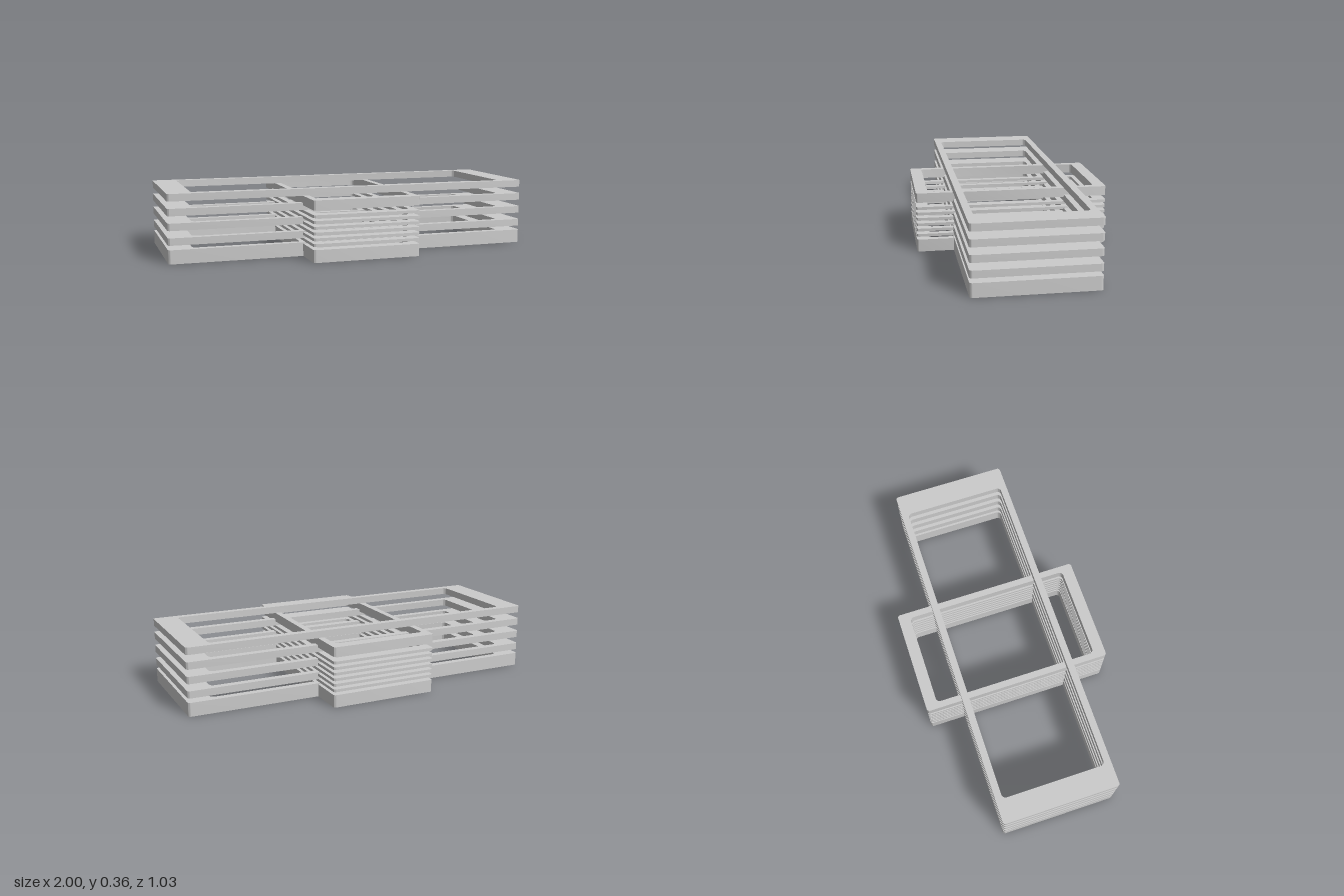
import * as THREE from 'three';
import { toCreasedNormals } from 'three/addons/utils/BufferGeometryUtils.js';

const material = new THREE.MeshStandardMaterial({ color: 0xcccccc });

// Traces a rounded rectangle, given half sizes and corner radius
function roundedRect(path, hx, hz, r) {
  path.moveTo(hx, -hz + r);
  path.absarc(hx - r, hz - r, r, 0, Math.PI / 2, false);
  path.absarc(-hx + r, hz - r, r, Math.PI / 2, Math.PI, false);
  path.absarc(-hx + r, -hz + r, r, Math.PI, Math.PI * 1.5, false);
  path.absarc(hx - r, -hz + r, r, Math.PI * 1.5, Math.PI * 2, false);
  return path;
}

// Flat rectangular frame lying between two heights
function frame(name, outer, inner, bottom, top) {
  const shape = roundedRect(new THREE.Shape(), outer[0], outer[1], 0.015);
  shape.holes.push(roundedRect(new THREE.Path(), inner[0], inner[1], 0.022));
  const geometry = new THREE.ExtrudeGeometry(shape, {
    depth: top - bottom, bevelEnabled: false, curveSegments: 6,
  });
  geometry.rotateX(-Math.PI / 2);
  geometry.translate(0, bottom, 0);
  const mesh = new THREE.Mesh(toCreasedNormals(geometry, 0.6), material);
  mesh.name = name;
  return mesh;
}

// Stack of equal frames at the given [bottom, top] levels
function stack(name, outer, inner, levels) {
  const group = new THREE.Group();
  group.name = name + 'Stack';
  levels.forEach(([bottom, top], i) => {
    group.add(frame(`${name}${i + 1}`, outer, inner, bottom, top));
  });
  return group;
}

export function createModel() {
  const model = new THREE.Group();
  model.name = 'crossedFrames';

  // Long frames running left to right: thick base and four even layers
  const longLevels = [[0, 0.073]];
  for (let i = 0; i < 4; i++) longLevels.push([0.096 + i * 0.075, 0.134 + i * 0.075]);
  model.add(stack('longFrame', [1, 0.32], [0.872, 0.282], longLevels));

  // Cross frames running front to back: thick base, six thin layers, thick top
  const crossLevels = [[0, 0.067]];
  for (let i = 0; i < 6; i++) crossLevels.push([0.083 + i * 0.0297, 0.098 + i * 0.0297]);
  crossLevels.push([0.271, 0.322]);
  model.add(stack('crossFrame', [0.293, 0.517], [0.258, 0.453], crossLevels));

  return model;
}
